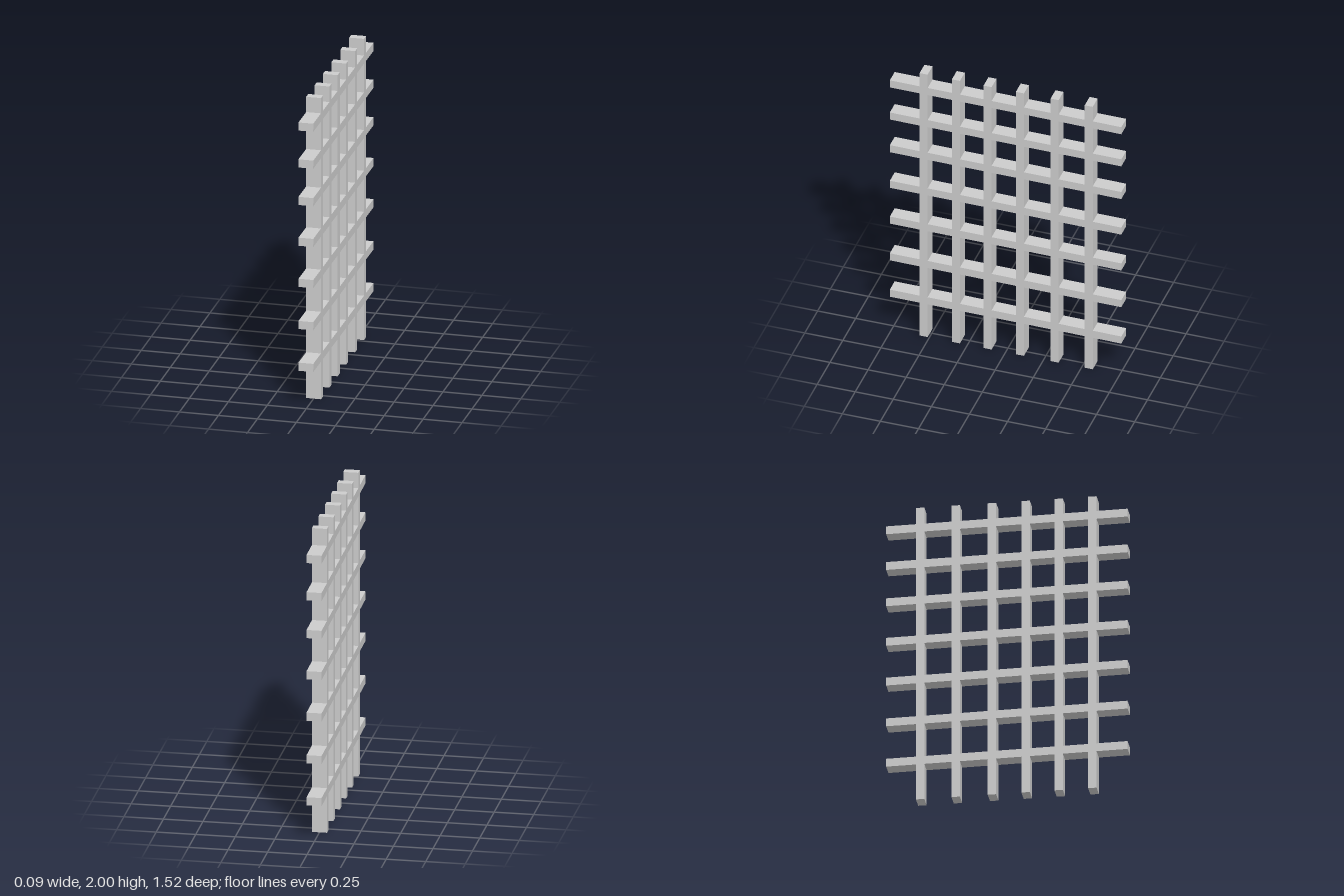
import * as THREE from 'three';

export function createModel() {
  const group = new THREE.Group();
  group.name = 'lattice';
  const material = new THREE.MeshStandardMaterial({ color: 0xcccccc, flatShading: true });
  const depth = 0.095;

  // Upright bars, standing on the ground
  const uprightGeometry = new THREE.BoxGeometry(depth, 2, 0.053);
  [0.538, 0.326, 0.118, -0.094, -0.322, -0.546].forEach((z, i) => {
    const bar = new THREE.Mesh(uprightGeometry, material);
    bar.name = `uprightBar${i + 1}`;
    bar.position.set(0, 1, z);
    group.add(bar);
  });

  // Cross bars, flush with the uprights and sloping slightly down to the back
  const crossGeometry = new THREE.BoxGeometry(depth, 0.054, 1.52);
  [0.272, 0.549, 0.829, 1.102, 1.373, 1.622, 1.867].forEach((y, i) => {
    const bar = new THREE.Mesh(crossGeometry, material);
    bar.name = `crossBar${i + 1}`;
    bar.position.y = y;
    bar.rotation.x = -0.0088;
    group.add(bar);
  });

  return group;
}
